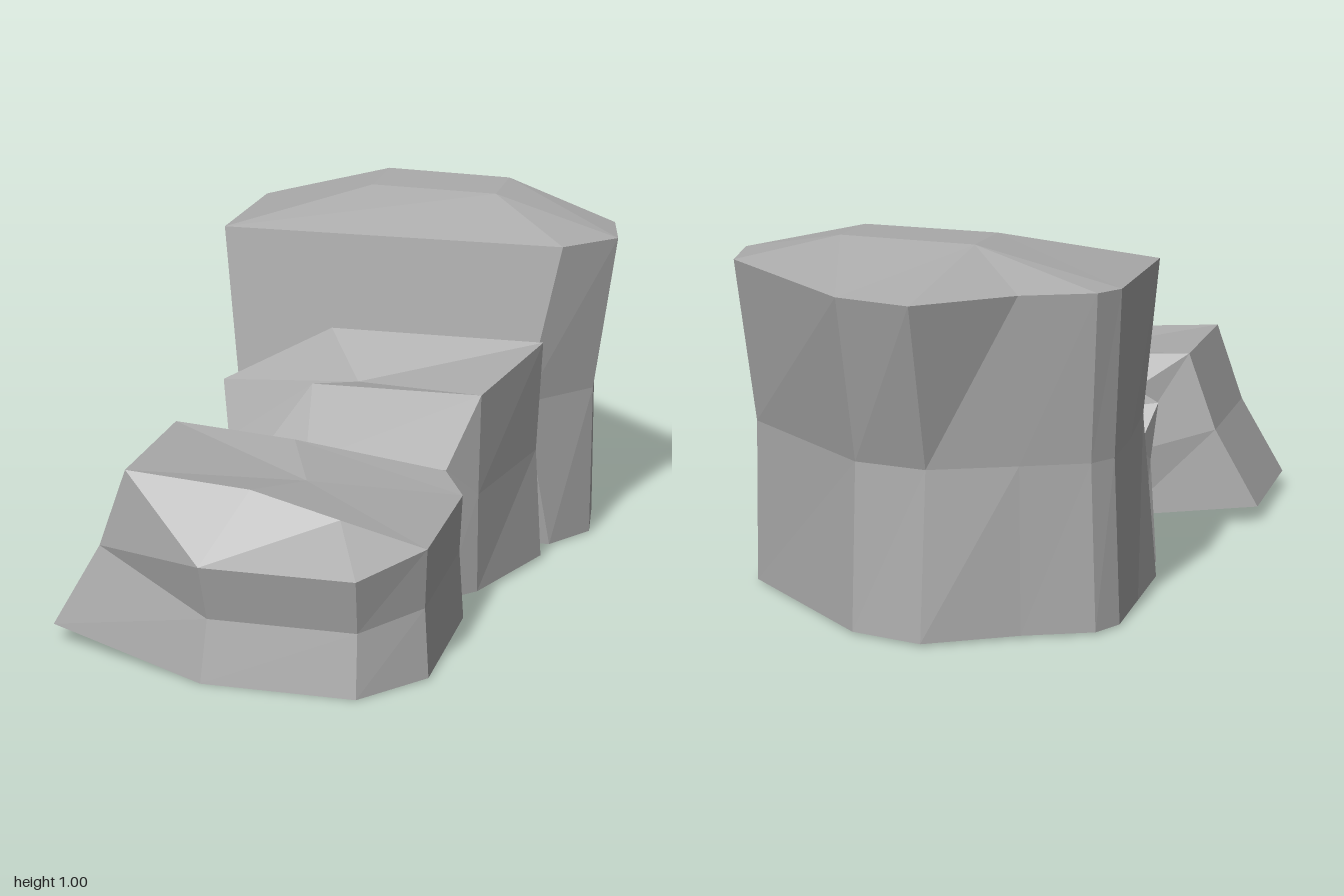
import * as THREE from 'three';

const stone = new THREE.MeshStandardMaterial({ color: 0xaaaaaa });
stone.name = 'stone grey';

// Faceted boulder lofted through rings of [x, y, z], listed bottom to top,
// each ring running clockwise as seen from above; both ends are capped.
function boulder(name, rings) {
  const pos = [];
  const tri = (a, b, c) => {
    const [p, q, r] = [a, b, c].map((v) => new THREE.Vector3(...v));
    if (q.clone().sub(p).cross(r.clone().sub(p)).length() > 1e-6) pos.push(...a, ...b, ...c);
  };
  const n = rings[0].length;
  const centre = (ring) => [0, 1, 2].map((k) => ring.reduce((s, p) => s + p[k], 0) / n);
  const low = rings[0], high = rings[rings.length - 1];
  const lowMid = centre(low), highMid = centre(high);
  for (let i = 0; i < n; i++) {
    const j = (i + 1) % n;
    for (let k = 0; k + 1 < rings.length; k++) {
      const a = rings[k], b = rings[k + 1];
      tri(a[i], b[i], a[j]);
      tri(a[j], b[i], b[j]);
    }
    tri(lowMid, low[i], low[j]);
    tri(highMid, high[j], high[i]);
  }
  const geo = new THREE.BufferGeometry();
  geo.setAttribute('position', new THREE.Float32BufferAttribute(pos, 3));
  geo.computeVertexNormals();
  const mesh = new THREE.Mesh(geo, stone);
  mesh.name = name;
  return mesh;
}

// Horizontal ring from [x, z] pairs
const level = (y, pts) => pts.map(([x, z]) => [x, y, z]);

// Tall rear boulder with a small raised crown
function tallBoulder() {
  const p1 = [-0.1, 1, -0.45], p2 = [0.28, 1, -0.42];
  const p3 = [0.28, 1.005, -0.62], p4 = [-0.1, 1.005, -0.66];
  return boulder('tallBoulder', [
    level(0.006, [[-0.485, -0.2], [-0.485, -0.42], [-0.485, -0.63], [-0.44, -0.71], [-0.26, -0.79],
      [-0.03, -0.925], [0.17, -0.88], [0.57, -0.53], [0.595, -0.34], [0.5, -0.2]]),
    level(0.455, [[-0.43, -0.145], [-0.46, -0.42], [-0.465, -0.62], [-0.42, -0.69], [-0.25, -0.77],
      [-0.03, -0.87], [0.17, -0.84], [0.57, -0.51], [0.595, -0.34], [0.43, -0.145]]),
    level(0.907, [[-0.485, -0.205], [-0.485, -0.42], [-0.485, -0.64], [-0.44, -0.715], [-0.255, -0.8],
      [-0.03, -1], [0.18, -0.945], [0.615, -0.54], [0.655, -0.35], [0.52, -0.205]]),
    [p1, p1, p4, p4, p4, p4, p3, p3, p2, p2],
  ]);
}

// Middle boulder with a sloped left shoulder
function middleBoulder() {
  const backLeft = [-0.46, 0.475, -0.09], backRidge = [-0.13, 0.655, -0.09], backRight = [0.49, 0.655, -0.09];
  const frontRight = [0.38, 0.588, 0.23], frontRidge = [-0.1, 0.585, 0.23], frontLeft = [-0.345, 0.41, 0.23];
  return boulder('middleBoulder', [
    level(0.012, [[-0.43, -0.145], [-0.1, -0.145], [0.44, -0.145], [0.495, -0.09], [0.375, 0.23],
      [0.3, 0.31], [-0.1, 0.31], [-0.27, 0.31], [-0.345, 0.23], [-0.46, -0.09]]),
    [[-0.42, 0.36, -0.145], [-0.1, 0.42, -0.145], [0.43, 0.42, -0.145], [0.475, 0.335, -0.09],
      [0.375, 0.3, 0.23], [0.3, 0.39, 0.305], [-0.1, 0.38, 0.305], [-0.27, 0.34, 0.305],
      [-0.335, 0.29, 0.23], [-0.44, 0.31, -0.09]],
    [backLeft, backRidge, backRight, backRight, frontRight,
      frontRight, frontRidge, frontLeft, frontLeft, backLeft],
  ]);
}

// Low front boulder flaring out at its right foot
function lowBoulder() {
  const right = [[0.37, 0.36, 0.41], [0.37, 0.36, 0.83]];
  const left = [[-0.44, 0.505, 0.83], [-0.44, 0.505, 0.41]];
  return boulder('lowBoulder', [
    [[-0.27, 0.02, 0.31], [0.3, 0.02, 0.31], [0.375, 0.005, 0.41], [0.375, 0.005, 0.83],
      [0.225, 0, 1], [-0.19, 0, 1], [-0.655, 0.05, 0.83], [-0.655, 0.05, 0.41]],
    [[-0.27, 0.21, 0.3], [0.3, 0.2, 0.3], [0.36, 0.195, 0.4], [0.36, 0.19, 0.81],
      [0.22, 0.167, 0.965], [-0.18, 0.167, 0.965], [-0.525, 0.28, 0.81], [-0.525, 0.28, 0.4]],
    [[-0.27, 0.39, 0.31], [0.3, 0.39, 0.31], ...right, [0.225, 0.32, 1], [-0.19, 0.32, 1], ...left],
    [[-0.1, 0.48, 0.41], [0.14, 0.418, 0.41], ...right, [0.14, 0.418, 0.83], [-0.1, 0.48, 0.83], ...left],
  ]);
}

export function createModel() {
  const group = new THREE.Group();
  group.name = 'boulders';
  group.add(tallBoulder(), middleBoulder(), lowBoulder());
  return group;
}
